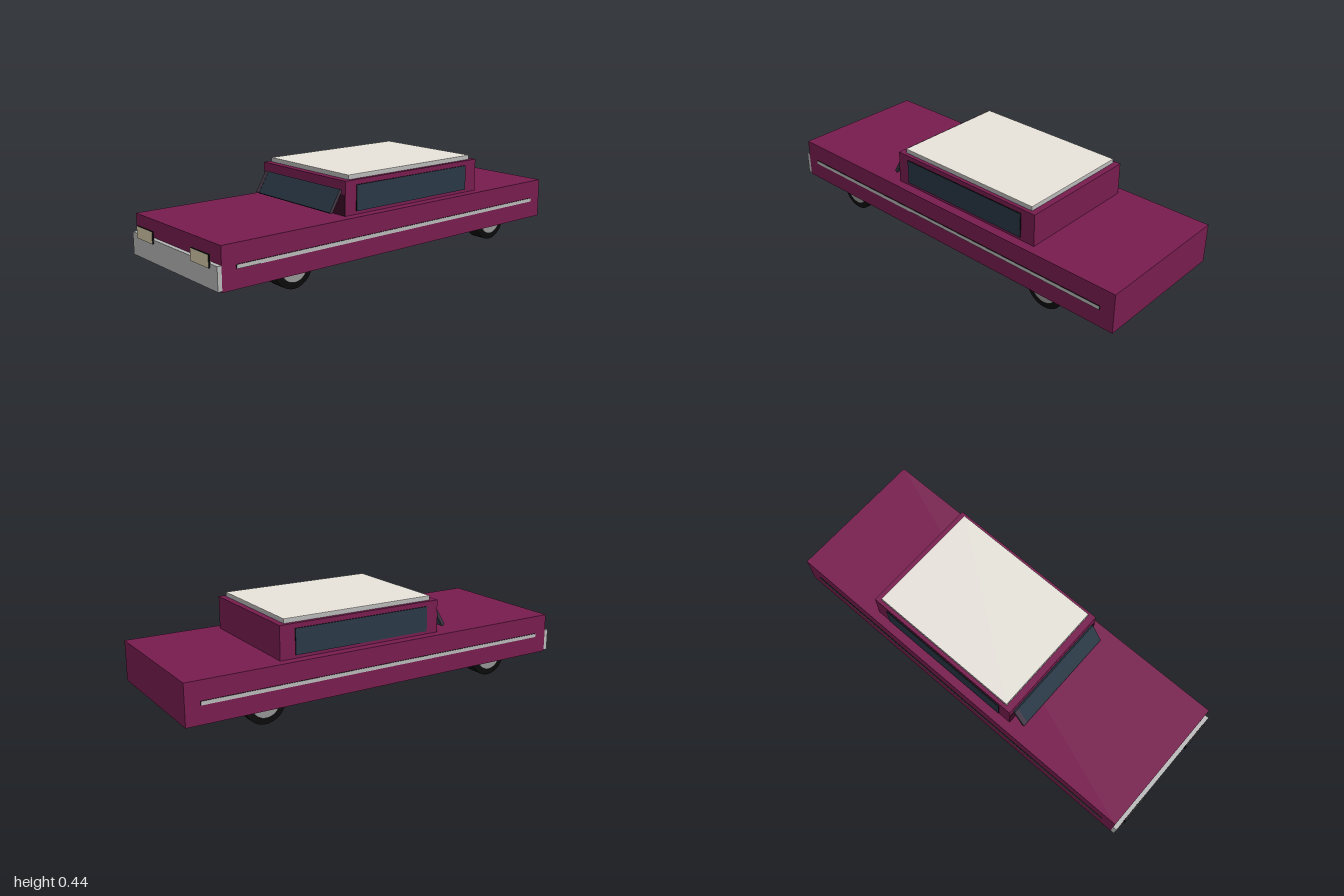
import * as THREE from 'three';

const mat = (name, color) => {
  const m = new THREE.MeshStandardMaterial({ color });
  m.name = name;
  return m;
};

export function createModel() {
  const car = new THREE.Group();
  car.name = 'car';
  const paint = mat('plum paint', 0x771c4e);
  const darkPaint = mat('dark plum paint', 0x390c25);
  const glass = mat('dark glass', 0x293845);
  const mauve = mat('mauve glass edge', 0x433846);
  const silver = mat('silver trim', 0xb8b8b8);
  const hubGrey = mat('grey hubcap', 0x959595);
  const cream = mat('cream roof', 0xeae6de);
  const lamp = mat('pale lamp', 0xd4caa9);
  const black = mat('black rubber', 0x0a0a0a);

  // Box given by its limits on each axis; faces run +x, -x, +y, -y, +z, -z
  const box = (name, material, [x0, x1], [y0, y1], [z0, z1], parent = car) => {
    const mesh = new THREE.Mesh(new THREE.BoxGeometry(x1 - x0, y1 - y0, z1 - z0), material);
    mesh.position.set((x0 + x1) / 2, (y0 + y1) / 2, (z0 + z1) / 2);
    mesh.name = name;
    parent.add(mesh);
    return mesh;
  };

  // Body with a dark underside, cabin with a dark lower front, two-tone roof
  box('body', [paint, paint, paint, darkPaint, paint, paint], [-0.352, 0.352], [0.066, 0.26], [-1, 0.973]);
  box('cabin', paint, [-0.308, 0.308], [0.26, 0.418], [-0.54, 0.303]);
  box('cabinFrontPanel', darkPaint, [-0.308, 0.308], [0.26, 0.355], [0.303, 0.305]);
  box('roofSlab', silver, [-0.29, 0.29], [0.418, 0.436], [-0.51, 0.27]);
  box('roofTop', cream, [-0.29, 0.29], [0.436, 0.439], [-0.51, 0.27]);

  // Windshield leaning back, standing clear of the cabin
  const windshield = new THREE.Group();
  windshield.name = 'windshield';
  windshield.position.set(0, 0.327, 0.335);
  windshield.rotation.x = -0.54;
  car.add(windshield);
  box('windshieldGlass', [mauve, mauve, glass, black, glass, glass],
    [-0.282, 0.282], [-0.057, 0.057], [-0.0075, 0.0075], windshield);
  box('windshieldEdge', mauve, [-0.282, -0.258], [-0.057, 0.057], [0.0075, 0.0085], windshield);

  // Front bumper
  box('frontBumper', silver, [-0.352, 0.352], [0.072, 0.178], [0.973, 0.993]);

  for (const s of [-1, 1]) {
    const span = (a, b) => (s > 0 ? [a, b] : [-b, -a]);
    // Coloured outer face with black edges
    const outward = (m) => [m, m, black, black, black, black];
    box('sideWindow', outward(glass), span(0.305, 0.313), [0.275, 0.395], [-0.465, 0.24]);
    box('sideTrim', outward(silver), span(0.348, 0.356), [0.152, 0.17], [-0.93, 0.905]);
    box('headlight', [black, black, black, black, lamp, black],
      span(0.159, 0.299), [0.16, 0.216], [0.991, 1]);

    // Wheels with hubcaps on the outer side
    for (const z of [0.61, -0.63]) {
      const wheel = new THREE.Group();
      wheel.name = 'wheel';
      const tyre = new THREE.Mesh(new THREE.CylinderGeometry(0.098, 0.098, 0.076, 32), black);
      const hub = new THREE.Mesh(new THREE.CylinderGeometry(0.068, 0.068, 0.02, 32), hubGrey);
      tyre.name = 'tyre';
      hub.name = 'hubcap';
      tyre.rotation.z = hub.rotation.z = Math.PI / 2;
      hub.position.x = s * 0.034;
      wheel.add(tyre, hub);
      wheel.position.set(s * 0.299, 0.098, z);
      car.add(wheel);
    }
  }
  return car;
}
